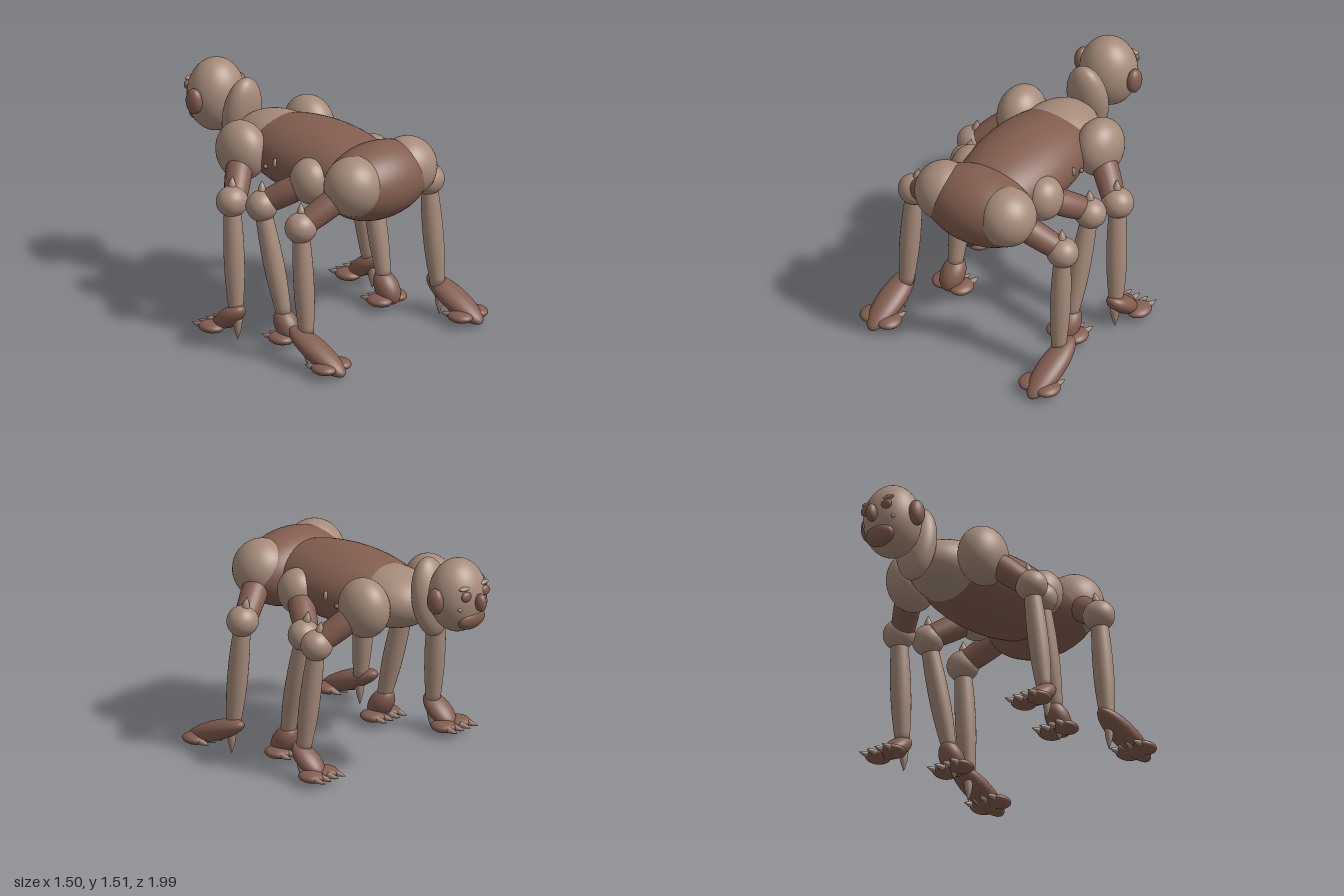
import * as THREE from 'three';

const skin = new THREE.MeshStandardMaterial({ color: 0xa68b7a });
skin.name = 'light tan skin';
const hide = new THREE.MeshStandardMaterial({ color: 0x835e50 });
hide.name = 'brown hide';

export function createModel() {
  const model = new THREE.Group();
  model.name = 'sixLeggedCreature';
  const ball = new THREE.SphereGeometry(1, 40, 28);
  const up = new THREE.Vector3(0, 1, 0);

  // Ellipsoid with centre, radii and a forward or backward tilt
  function blob(parent, name, mat, pos, radii, tilt = 0) {
    const m = new THREE.Mesh(ball, mat);
    m.name = name;
    m.position.set(...pos);
    m.scale.set(...radii);
    m.rotation.x = tilt;
    parent.add(m);
    return m;
  }

  // Round rod from a to b; radii are spaced evenly along its length
  function rod(parent, name, mat, a, b, radii) {
    const start = new THREE.Vector3(...a);
    const dir = new THREE.Vector3(...b).sub(start);
    const len = dir.length();
    const pts = radii.map((r, i) => new THREE.Vector2(r, (len * i) / (radii.length - 1)));
    const curve = new THREE.SplineCurve(pts).getPoints(10).map(p => new THREE.Vector2(Math.max(p.x, 0), p.y));
    const profile = [new THREE.Vector2(0, 0), ...curve, new THREE.Vector2(0, len)];
    const m = new THREE.Mesh(new THREE.LatheGeometry(profile, 24), mat);
    m.name = name;
    m.position.copy(start);
    m.quaternion.setFromUnitVectors(up, dir.normalize());
    parent.add(m);
  }
  const spike = (parent, name, a, b, r) => rod(parent, name, skin, a, b, [r, r * 0.75, 0.001]);

  // Trunk
  blob(model, 'torso', hide, [0, 1.105, 0.18], [0.325, 0.24, 0.62]);
  blob(model, 'pelvis', hide, [0, 1.095, 0.665], [0.4, 0.245, 0.255]);
  blob(model, 'chest', skin, [0, 1.115, -0.18], [0.25, 0.195, 0.33]);
  blob(model, 'neck', skin, [0, 1.195, -0.53], [0.145, 0.258, 0.1], 0.15);

  // Head
  const head = new THREE.Group();
  head.name = 'head';
  model.add(head);
  blob(head, 'skull', skin, [0, 1.27, -0.76], [0.19, 0.24, 0.18]);
  blob(head, 'nose', hide, [0, 1.265, -0.96], [0.035, 0.06, 0.04]);
  blob(head, 'muzzle', hide, [0, 1.135, -0.88], [0.11, 0.07, 0.05], -0.4);
  for (const s of [-1, 1]) {
    blob(head, 'ear', hide, [s * 0.2, 1.275, -0.755], [0.045, 0.085, 0.06]);
    blob(head, 'eye', hide, [s * 0.085, 1.315, -0.915], [0.04, 0.034, 0.022]);
    blob(head, 'brow', skin, [s * 0.085, 1.365, -0.9], [0.045, 0.014, 0.022]);
    blob(head, 'cheek', skin, [s * 0.12, 1.23, -0.892], [0.014, 0.014, 0.014]);
  }

  // Leg joints, and the long foot piece with its tilt
  const legs = [
    { name: 'rear', hip: [0.24, 1.13, 0.7], hipR: [0.19, 0.195, 0.19],
      knee: [0.57, 0.905, 0.56], ankle: [0.585, 0.2, 0.625],
      foot: [0.615, 0.13, 0.75], footR: [0.092, 0.065, 0.255], tilt: 0.4,
      pad: [0.61, 0.065, 0.87], heel: [0.59, 0.15, 0.635] },
    { name: 'middle', hip: [0.28, 1.08, 0.355], hipR: [0.125, 0.15, 0.135],
      knee: [0.475, 0.9, 0.12], ankle: [0.445, 0.19, 0.29],
      foot: [0.445, 0.135, 0.315], footR: [0.08, 0.075, 0.12], tilt: 0.9,
      pad: [0.44, 0.065, 0.32], heel: [0.44, 0.1, 0.33] },
    { name: 'front', hip: [0.3, 1.125, -0.235], hipR: [0.148, 0.195, 0.18],
      knee: [0.555, 0.9, -0.065], ankle: [0.595, 0.19, 0.01],
      foot: [0.605, 0.135, -0.04], footR: [0.085, 0.06, 0.145], tilt: -0.65,
      pad: [0.61, 0.065, -0.13], heel: [0.6, 0.14, 0.03] },
  ];
  for (const s of [-1, 1]) {
    const side = s > 0 ? 'Left' : 'Right';
    const flip = ([x, y, z], dx = 0, dy = 0, dz = 0) => [s * (x + dx), y + dy, z + dz];
    for (const L of legs) {
      const leg = new THREE.Group();
      leg.name = L.name + side + 'Leg';
      model.add(leg);
      blob(leg, 'hip', skin, flip(L.hip), L.hipR);
      rod(leg, 'upperLeg', hide, flip(L.hip), flip(L.knee, -0.03, 0.015), [0.075, 0.085, 0.075]);
      blob(leg, 'knee', skin, flip(L.knee), [0.105, 0.1, 0.1]);
      spike(leg, 'kneeSpike', flip(L.knee, -0.01, 0.07, -0.01), flip(L.knee, -0.02, 0.16, -0.02), 0.03);
      rod(leg, 'lowerLeg', skin, flip(L.knee), flip(L.ankle), [0.05, 0.064, 0.064, 0.046]);
      // Foot with two toe pads, four claws and a heel spur
      blob(leg, 'foot', hide, flip(L.foot), L.footR, L.tilt);
      for (const d of [-1, 1]) {
        blob(leg, 'toePad', hide, flip(L.pad, d * 0.065), [0.076, 0.036, 0.088]);
      }
      for (const d of [-0.09, -0.03, 0.03, 0.09]) {
        spike(leg, 'claw', flip(L.pad, d, 0, -0.06), flip(L.pad, d * 1.05, -0.005, -0.145), 0.02);
      }
      spike(leg, 'heelSpur', flip(L.heel), [s * L.heel[0], 0, L.heel[2]], 0.03);
    }
    // Small bumps and barbs along the flanks
    for (const [x, z] of [[0.285, 0.52], [0.312, -0.01]]) {
      blob(model, 'flankBump', hide, [s * x, 1.08, z], [0.018, 0.016, 0.016]);
    }
    for (const z of [0.08, 0.31]) {
      blob(model, 'flankBarb', skin, [s * 0.318, 1.13, z], [0.016, 0.032, 0.014]);
    }
  }
  return model;
}
